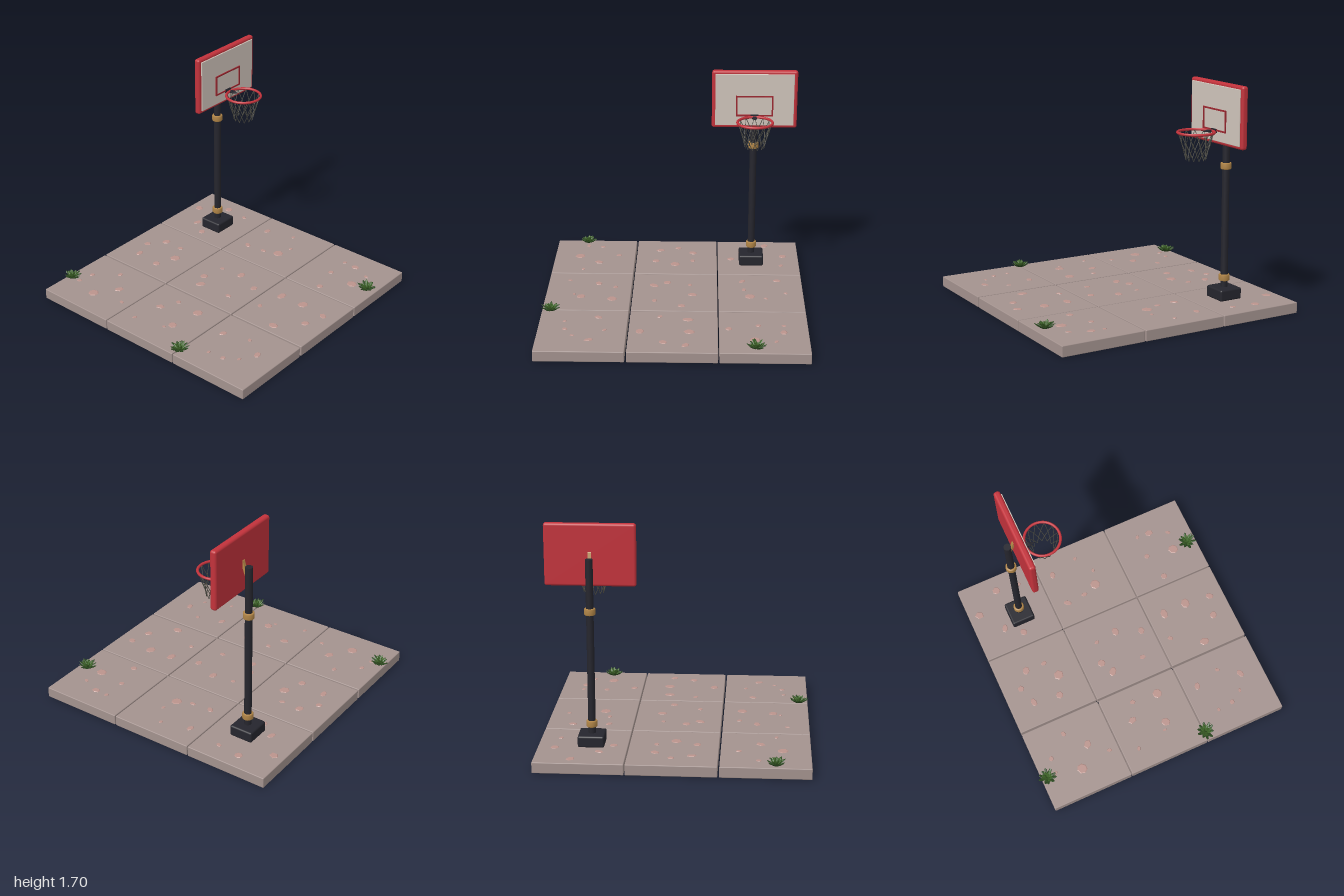
import * as THREE from 'three';
import { mergeGeometries } from 'three/addons/utils/BufferGeometryUtils.js';
import { RoundedBoxGeometry } from 'three/addons/geometries/RoundedBoxGeometry.js';

const mat = (color, flatShading = false) => new THREE.MeshStandardMaterial({ color, flatShading });
const M = {
  slab: mat(0xa3928e), patch: mat(0xba938c, true), red: mat(0xc2323b), dark: mat(0x25252d),
  brass: mat(0xb08446), cream: mat(0xd0c5bb), line: mat(0x9c2730), net: mat(0x4b4a42),
  leaf: mat(0x3d6327, true), leafDark: mat(0x2b481f, true),
};

let seed = 7;
const rand = () => (seed = (seed * 16807) % 2147483647) / 2147483647;

const TOP = 0.082;                       // upper face of the paving
const POLE_X = -0.578, Z = -0.607;       // pole axis
const HOOP_X = -0.312, HOOP_Y = 1.345;   // hoop centre

function add(parent, name, geometry, material, x = 0, y = 0, z = 0) {
  const mesh = new THREE.Mesh(geometry, material);
  mesh.name = name;
  mesh.position.set(x, y, z);
  parent.add(mesh);
}

// Irregular low-poly chip lying on the paving
function chip(x, z, r) {
  const g = new THREE.CylinderGeometry(0.72, 1, 0.007, 5 + Math.floor(rand() * 3), 1);
  g.scale(r, 1, r * (0.6 + rand() * 0.4));
  g.rotateY(rand() * 6.28);
  return g.translate(x, TOP, z);
}

// Three by three slabs, each with six worn patches scattered around its centre
function paving() {
  const group = new THREE.Group();
  group.name = 'paving';
  for (const x of [-0.642, 0.013, 0.669]) {
    for (const z of [-0.667, -0.011, 0.65]) {
      add(group, 'slab', new RoundedBoxGeometry(0.648, TOP, 0.648, 2, 0.006), M.slab, x, TOP / 2, z);
      const chips = [];
      const turn = rand() * 6.28;
      for (let i = 0; i < 6; i++) {
        const a = turn + (i + rand() * 0.5) / 6 * Math.PI * 2;
        const d = 0.1 + rand() * 0.16;
        chips.push(chip(x + Math.cos(a) * d, z + Math.sin(a) * d, 0.018 + rand() * 0.033));
      }
      add(group, 'wornPatches', mergeGeometries(chips), M.patch);
    }
  }
  return group;
}

// Rounded collar turned on a lathe
function collar() {
  const pts = [[0.027, -0.024], [0.036, -0.024], [0.041, -0.018], [0.041, 0.018], [0.036, 0.024], [0.027, 0.024]];
  return new THREE.LatheGeometry(pts.map(p => new THREE.Vector2(...p)), 24);
}

function stand() {
  const group = new THREE.Group();
  group.name = 'stand';
  add(group, 'base', new RoundedBoxGeometry(0.184, 0.086, 0.192, 3, 0.014), M.dark, POLE_X, 0.123, Z);
  add(group, 'pole', new THREE.CylinderGeometry(0.027, 0.027, 1.3, 20), M.dark, POLE_X, 0.805, Z);
  for (const y of [0.237, 1.076]) add(group, 'collar', collar(), M.brass, POLE_X, y, Z);
  // Slanted strut joining pole and board
  const s = new THREE.Shape([[-0.575, 1.36], [-0.56, 1.36], [-0.52, 1.47], [-0.52, 1.51], [-0.535, 1.49]]
    .map(p => new THREE.Vector2(...p)));
  add(group, 'strut', new THREE.ExtrudeGeometry(s, { depth: 0.024, bevelEnabled: false }), M.brass, 0, 0, Z - 0.012);
  return group;
}

// Rectangular outline in the zy plane, facing +x
function outline(w, h, t, depth) {
  const rect = (Type, a, b) => new Type([[-a, -b], [a, -b], [a, b], [-a, b]].map(p => new THREE.Vector2(...p)));
  const s = rect(THREE.Shape, w / 2, h / 2);
  s.holes.push(rect(THREE.Path, w / 2 - t, h / 2 - t));
  return new THREE.ExtrudeGeometry(s, { depth, bevelEnabled: false }).rotateY(Math.PI / 2);
}

function backboard() {
  const group = new THREE.Group();
  group.name = 'backboard';
  add(group, 'frame', new RoundedBoxGeometry(0.05, 0.452, 0.652, 4, 0.018), M.red, -0.506, 1.472, Z);
  add(group, 'panel', new RoundedBoxGeometry(0.024, 0.406, 0.6, 2, 0.004), M.cream, -0.485, 1.472, Z);
  add(group, 'targetSquare', outline(0.284, 0.162, 0.011, 0.009), M.line, -0.474, 1.425, Z);
  return group;
}

function hoop() {
  const group = new THREE.Group();
  group.name = 'hoop';
  group.position.set(HOOP_X, HOOP_Y, Z);
  add(group, 'rim', new THREE.TorusGeometry(0.133, 0.01, 10, 40).rotateX(Math.PI / 2), M.red);
  // Bracket with a tapered nose
  add(group, 'bracketPlate', new THREE.BoxGeometry(0.012, 0.026, 0.06), M.dark, -0.155);
  add(group, 'bracketArm', new THREE.BoxGeometry(0.06, 0.016, 0.026), M.dark, -0.13);
  add(group, 'bracketNose', new THREE.CylinderGeometry(0.004, 0.026, 0.045, 4).rotateY(Math.PI / 4)
    .rotateZ(-Math.PI / 2).scale(1, 0.4, 1), M.dark, -0.085);
  // Net of crossing strands, narrowing downwards
  const rows = [[0.128, 0], [0.104, -0.085], [0.085, -0.145], [0.072, -0.2]];
  const n = 12, strands = [];
  const node = (row, i) => {
    const a = i / n * Math.PI * 2;
    return new THREE.Vector3(Math.cos(a) * rows[row][0], rows[row][1], Math.sin(a) * rows[row][0]);
  };
  for (let row = 0; row < 3; row++) {
    for (let i = 0; i < n; i++) {
      const start = i + (row % 2) / 2;
      for (const side of [-0.5, 0.5]) {
        const path = new THREE.LineCurve3(node(row, start), node(row + 1, start + side));
        strands.push(new THREE.TubeGeometry(path, 1, 0.0026, 5));
      }
    }
  }
  add(group, 'net', mergeGeometries(strands), M.net);
  return group;
}

// Rosette of pointed leaves in tilted rings
function plant(x, z) {
  const group = new THREE.Group();
  group.name = 'plant';
  group.position.set(x, TOP, z);
  for (const [count, length, tilt, material] of [[10, 0.08, 0.3, M.leafDark], [8, 0.07, 0.62, M.leaf], [5, 0.058, 1.0, M.leaf]]) {
    const leaves = [];
    for (let i = 0; i < count; i++) {
      const l = length * (0.85 + rand() * 0.25);
      const g = new THREE.SphereGeometry(1, 6, 4).rotateX(Math.PI / 2);
      g.scale(0.013, 0.005, l / 2).translate(0, 0.002, l / 2);
      const p = g.attributes.position;
      for (let k = 0; k < p.count; k++) p.setY(k, p.getY(k) + 2.2 * p.getZ(k) ** 2);   // upward curl
      g.rotateX(-tilt * (0.85 + rand() * 0.3)).rotateY((i + rand() * 0.5) / count * Math.PI * 2 + tilt);
      leaves.push(g);
    }
    add(group, 'leaves', mergeGeometries(leaves), material);
  }
  return group;
}

export function createModel() {
  const model = new THREE.Group();
  model.name = 'basketballCourt';
  model.add(paving(), stand(), backboard(), hoop());
  for (const [x, z] of [[0.917, -0.607], [-0.922, 0.725], [0.35, 0.905]]) model.add(plant(x, z));
  return model;
}
